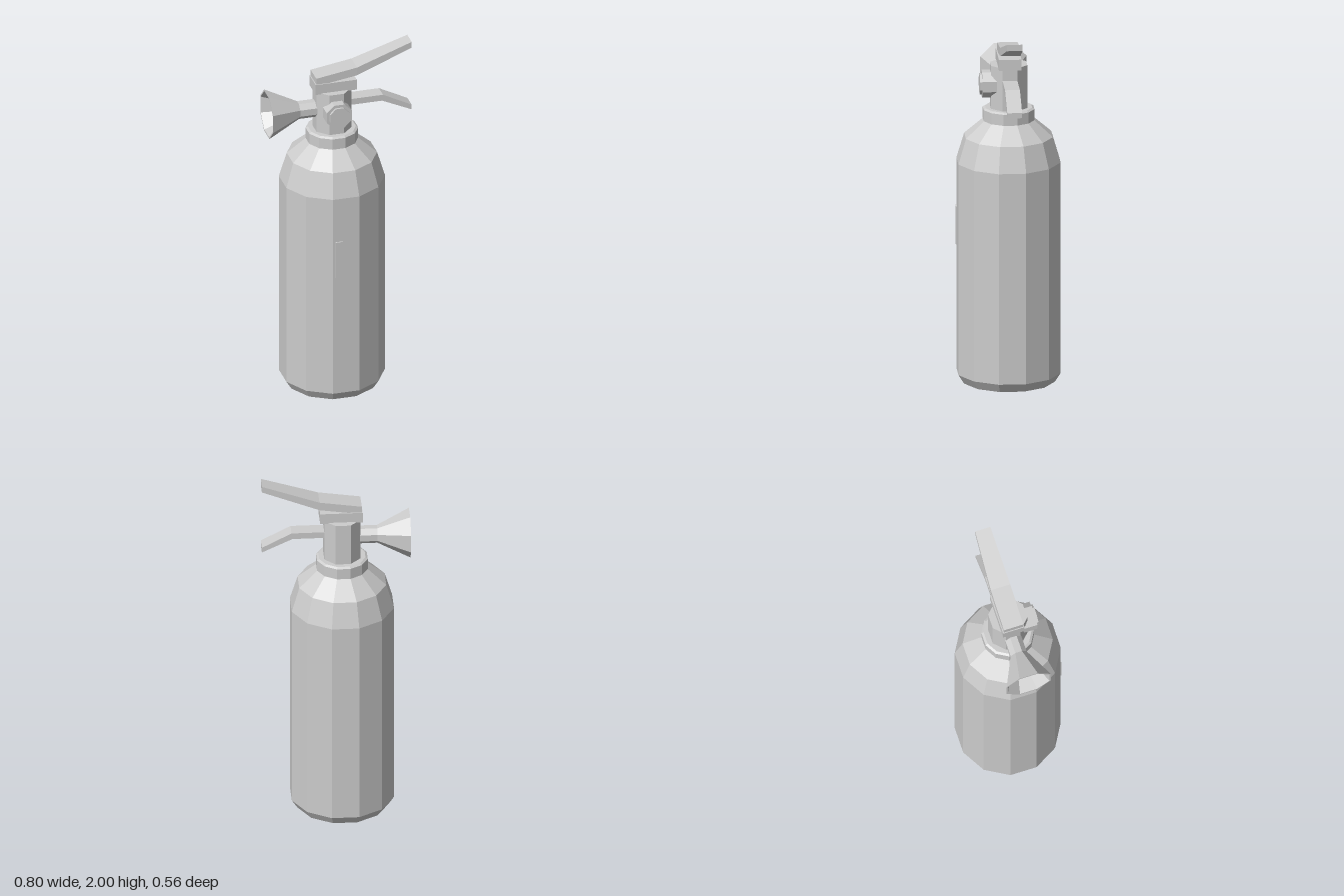
import * as THREE from 'three';

export function createModel() {
  const group = new THREE.Group();
  const grey = new THREE.MeshStandardMaterial({ color: 0xcccccc, flatShading: true });
  grey.name = 'light grey';
  const CX = -0.035, CZ = -0.005; // axis of the cylinder

  function add(name, geometry, x, y, z) {
    const mesh = new THREE.Mesh(geometry, grey);
    mesh.name = name;
    mesh.position.set(x, y, z);
    group.add(mesh);
  }

  // Faceted turned part: profile is [flat-to-centre distance, height], flats face the axes
  function turned(sides, profile) {
    const k = 1 / Math.cos(Math.PI / sides);
    const points = profile.map(([r, y]) => new THREE.Vector2(r * k, y));
    return new THREE.LatheGeometry(points, sides, Math.PI / sides);
  }

  // Side outline extruded across z, with half width given by a rule of x
  function lever(outline, halfWidth) {
    const shape = new THREE.Shape(outline.map(([x, y]) => new THREE.Vector2(x, y)));
    const geometry = new THREE.ExtrudeGeometry(shape, { depth: 1, bevelEnabled: false });
    const p = geometry.attributes.position;
    for (let i = 0; i < p.count; i++) {
      p.setZ(i, (p.getZ(i) > 0.5 ? 1 : -1) * halfWidth(p.getX(i)));
    }
    geometry.computeVertexNormals();
    return geometry;
  }

  // Tank with chamfered foot and stepped shoulder
  add('tank', turned(12, [[0, 0], [0.245, 0], [0.276, 0.05], [0.276, 1.23],
    [0.235, 1.37], [0.13, 1.465], [0, 1.465]]), CX, 0, CZ);

  // Neck collar and valve body
  add('collar', turned(12, [[0, 1.46], [0.137, 1.46], [0.137, 1.522], [0.125, 1.53], [0, 1.53]]), CX, 0, CZ);
  add('valveBody', turned(8, [[0, 1.52], [0.098, 1.52], [0.098, 1.77], [0, 1.77]]), CX, 0, CZ);
  add('valveCap', new THREE.BoxGeometry(0.23, 0.06, 0.122), -0.028, 1.795, CZ);

  // Gauge on the front of the valve
  add('gauge', turned(8, [[0, 0.05], [0.07, 0.05], [0.07, 0.145], [0.054, 0.145],
    [0.054, 0.157], [0, 0.157]]).rotateX(Math.PI / 2), CX, 1.66, CZ);

  // Discharge horn, hollow at the mouth
  add('horn', turned(8, [[0, 0.1], [0.045, 0.1], [0.045, 0.225], [0.125, 0.4],
    [0.117, 0.4], [0.036, 0.23], [0, 0.23]]).rotateZ(Math.PI / 2), 0, 1.655, CZ);

  // Squeeze lever and carrying handle
  add('squeezeLever', lever([[-0.138, 1.824], [-0.07, 1.824], [0.09, 1.848], [0.4, 1.965],
    [0.4, 2], [0.09, 1.895], [-0.138, 1.86]],
  (x) => (x < 0.1 ? 0.055 : 0.055 - (x - 0.1) * 0.04)), 0, 0, CZ);
  add('carryHandle', lever([[0.03, 1.665], [0.235, 1.665], [0.4, 1.588], [0.4, 1.617],
    [0.24, 1.7], [0.03, 1.7]], () => 0.04), 0, 0, CZ);

  // Small plate on the tank front
  add('tankPlate', new THREE.BoxGeometry(0.044, 0.215, 0.009), -0.075, 0.863, 0.2735);

  return group;
}
